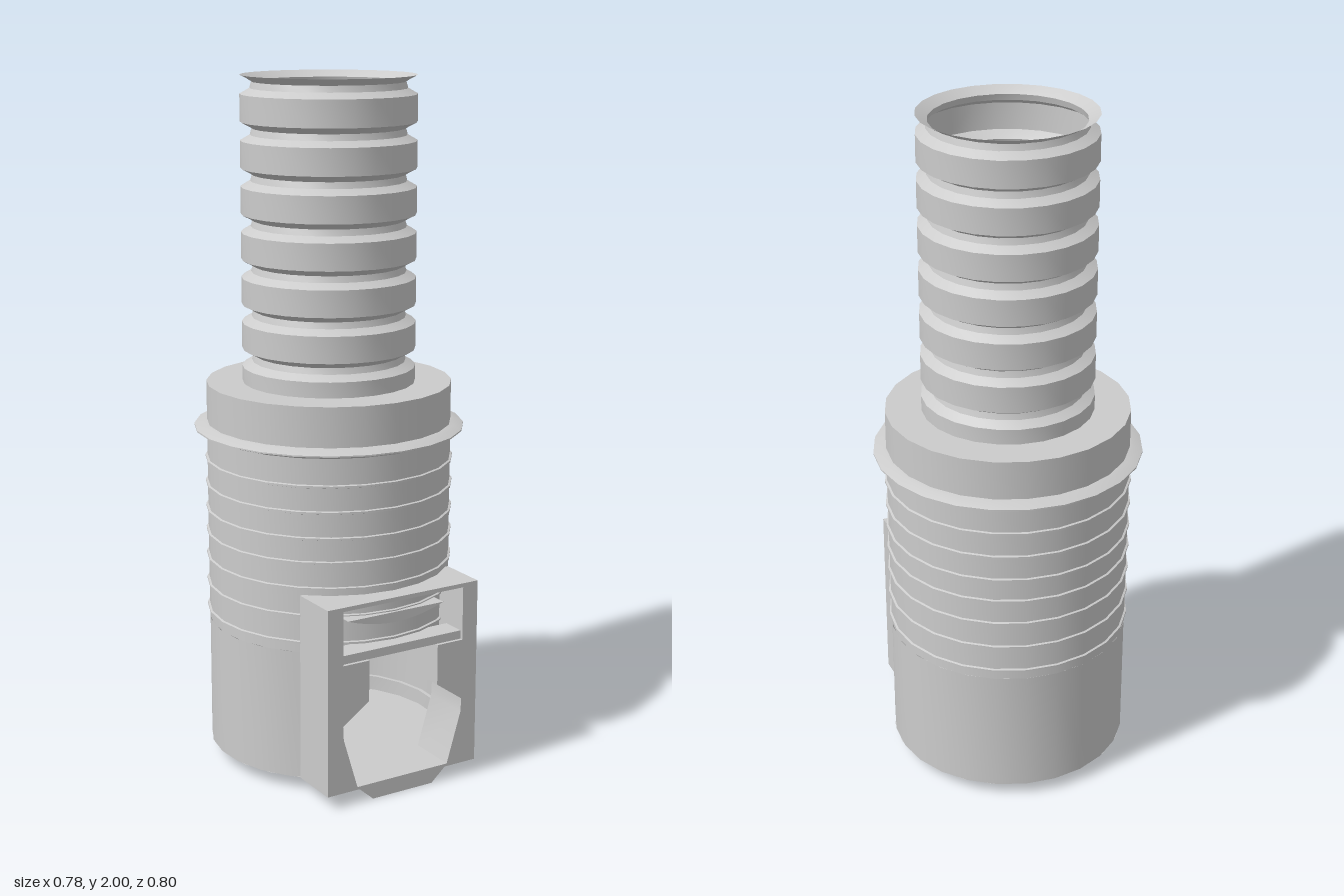
import * as THREE from 'three';
import { toCreasedNormals } from 'three/addons/utils/BufferGeometryUtils.js';

const SIDES = 24;
const R = 0.355; // body radius
const AXIS_Z = -0.008;
const material = new THREE.MeshStandardMaterial({ color: 0xcccccc, side: THREE.DoubleSide });

export function createModel() {
  const model = new THREE.Group();
  model.name = 'hoseConnector';

  const add = (name, geometry, z = 0) => {
    const mesh = new THREE.Mesh(toCreasedNormals(geometry, 0.4), material);
    mesh.name = name;
    mesh.position.z = z;
    model.add(mesh);
    return mesh;
  };
  // Turned part from [radius, y] pairs
  const turn = (name, profile, start = 0, length = Math.PI * 2, sides = SIDES) =>
    add(name, new THREE.LatheGeometry(
      profile.map(([r, y]) => new THREE.Vector2(r, y)), sides, start, length), AXIS_Z);

  // Hollow body: closed upper drum, lower wall with a gap at the front, floor
  turn('upperBody', [[R, 0.42], [R, 1.13], [0, 1.13]]);
  const gap = Math.PI / 5;
  turn('lowerBody', [[R, 0.04], [R, 0.42]], gap, Math.PI * 2 - 2 * gap, 20);
  turn('floor', [[0, 0.04], [R, 0.04]]);
  turn('floorRim', [[R - 0.012, 0.04], [R - 0.012, 0.085], [R, 0.085]], gap, Math.PI * 2 - 2 * gap, 20);

  // Thin ribs around the body
  for (const y of [0.45, 0.53, 0.61, 0.685, 0.755, 0.83, 0.905]) {
    turn('rib', [[R, y - 0.005], [R + 0.006, y - 0.003], [R + 0.006, y + 0.003], [R, y + 0.005]]);
  }

  // Sharp flange near the top
  turn('flange', [[R, 0.985], [0.365, 0.993], [0.392, 0.998], [0.392, 1.002], [0.365, 1.013], [R, 1.015]]);

  // Corrugated hose, open at the top
  const hose = [[0.25, 1.13], [0.25, 1.175]];
  for (let i = 0; i < 7; i++) {
    const y = 1.175 + i * 0.1287;
    hose.push([0.222, y + 0.016], [0.217, y + 0.034], [0.23, y + 0.042], [0.25, y + 0.052]);
    if (i < 6) hose.push([0.25, y + 0.1287]);
  }
  hose[hose.length - 1] = [0.25, 2];
  turn('hose', hose);

  // Front housing with a slot above a flared opening
  const half = [
    [0.25, 0.04], [0.25, 0.59], [0, 0.59], [0, 0.578], [0.2, 0.578], [0.2, 0.42],
    [0.115, 0.42], [0.115, 0.3], [0.2, 0.24], [0.198, 0.2], [0.15, 0.04],
  ];
  for (const side of [-1, 1]) {
    const shape = new THREE.Shape(half.map(([x, y]) => new THREE.Vector2(x * side, y)));
    const geometry = new THREE.ExtrudeGeometry(shape, { depth: 0.15, bevelEnabled: false });
    add(side > 0 ? 'leftHousing' : 'rightHousing', geometry, 0.25);
  }

  // Crossbar under the slot
  const bar = new THREE.BoxGeometry(0.4, 0.025, 0.07);
  bar.translate(0, 0.4325, 0.355);
  add('crossbar', bar);

  // Bowed lip hanging in the slot
  const lip = new THREE.Shape();
  lip.moveTo(-0.16, 0.53);
  lip.quadraticCurveTo(0, 0.47, 0.16, 0.53);
  lip.closePath();
  add('slotLip', new THREE.ExtrudeGeometry(lip, { depth: 0.06, bevelEnabled: false, curveSegments: 10 }), 0.3);

  // Sill and the tapered tongue under it, its back face sloping
  const sill = new THREE.BoxGeometry(0.31, 0.008, 0.15);
  sill.translate(0, 0.044, 0.325);
  add('sill', sill);
  const tongue = new THREE.ExtrudeGeometry(new THREE.Shape([
    new THREE.Vector2(-0.1, 0), new THREE.Vector2(0.1, 0),
    new THREE.Vector2(0.15, 0.044), new THREE.Vector2(-0.15, 0.044),
  ]), { depth: 0.1, bevelEnabled: false });
  const p = tongue.attributes.position;
  for (let i = 0; i < p.count; i++) {
    if (p.getZ(i) < 0.01 && p.getY(i) < 0.01) p.setZ(i, 0.06);
  }
  tongue.computeVertexNormals();
  add('tongue', tongue, 0.3);

  return model;
}
